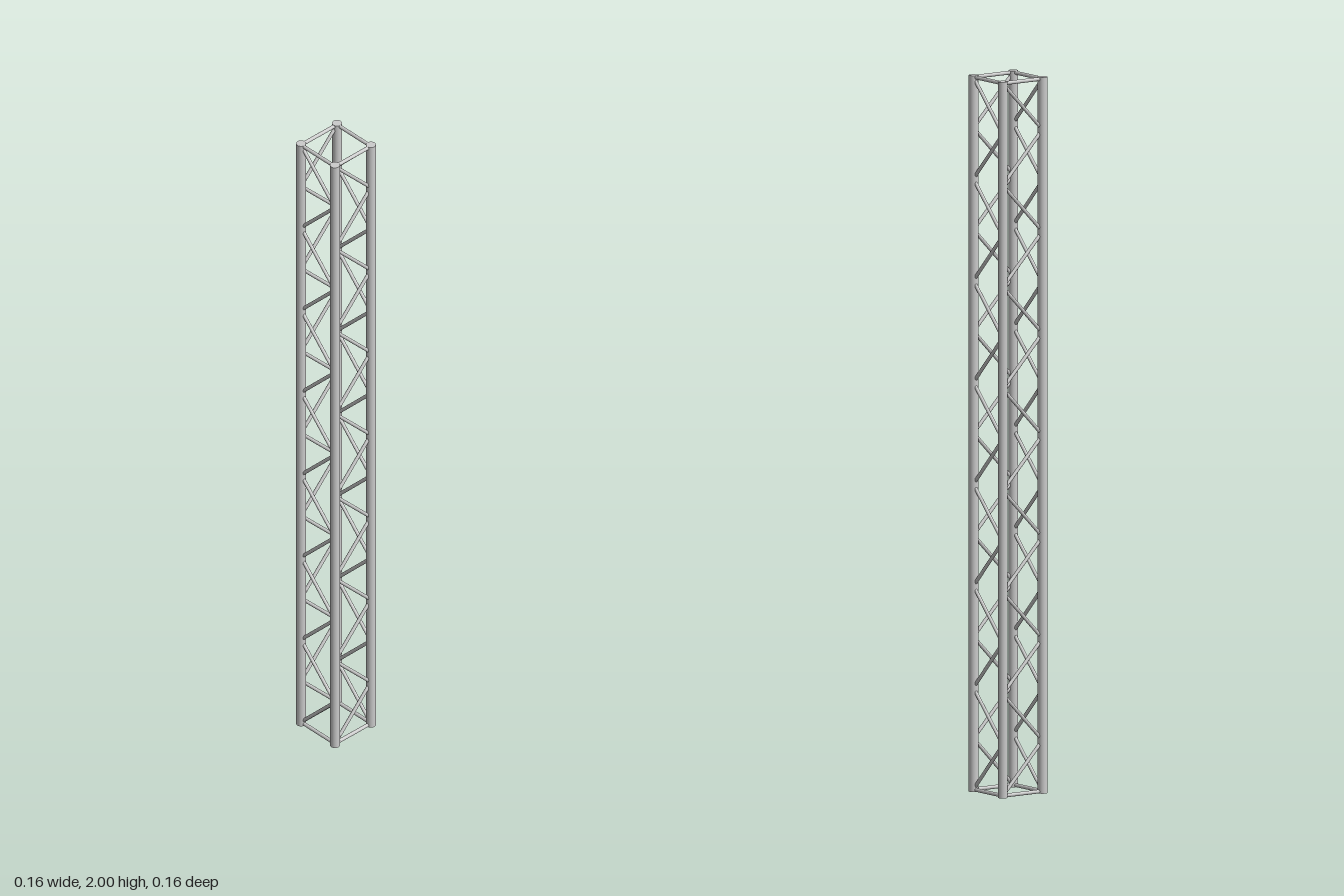
import * as THREE from 'three';

const HEIGHT = 2, HALF = 0.068, LEG_R = 0.0138, RING_R = 0.0054, BRACE_R = 0.005, BAYS = 14;
const material = new THREE.MeshStandardMaterial({ color: 0xcccccc });

// Round bar between two points
function bar(name, a, b, radius, sides) {
  const dir = new THREE.Vector3().subVectors(b, a);
  const mesh = new THREE.Mesh(new THREE.CylinderGeometry(radius, radius, dir.length(), sides), material);
  mesh.name = name;
  mesh.position.addVectors(a, b).multiplyScalar(0.5);
  mesh.quaternion.setFromUnitVectors(new THREE.Vector3(0, 1, 0), dir.normalize());
  return mesh;
}

// One face of the truss: a corner leg, top and bottom rails, zigzag bracing
function createSide() {
  const side = new THREE.Group();
  const at = (x, y) => new THREE.Vector3(x, y, HALF);
  side.add(bar('leg', at(HALF, 0), at(HALF, HEIGHT), LEG_R, 24));

  const low = RING_R, high = HEIGHT - RING_R;
  side.add(bar('bottomRail', at(-HALF, low), at(HALF, low), RING_R, 12));
  side.add(bar('topRail', at(-HALF, high), at(HALF, high), RING_R, 12));

  const pitch = (high - low) / BAYS;
  for (let i = 0; i < BAYS; i++) {
    const x = i % 2 ? HALF : -HALF;
    side.add(bar('diagonalBrace', at(x, low + i * pitch), at(-x, low + (i + 1) * pitch), BRACE_R, 12));
  }
  return side;
}

export function createModel() {
  const model = new THREE.Group();
  model.name = 'boxTruss';
  // Four identical faces turned about the vertical axis
  ['frontSide', 'leftSide', 'backSide', 'rightSide'].forEach((name, i) => {
    const side = createSide();
    side.name = name;
    side.rotation.y = i * Math.PI / 2;
    model.add(side);
  });
  return model;
}
